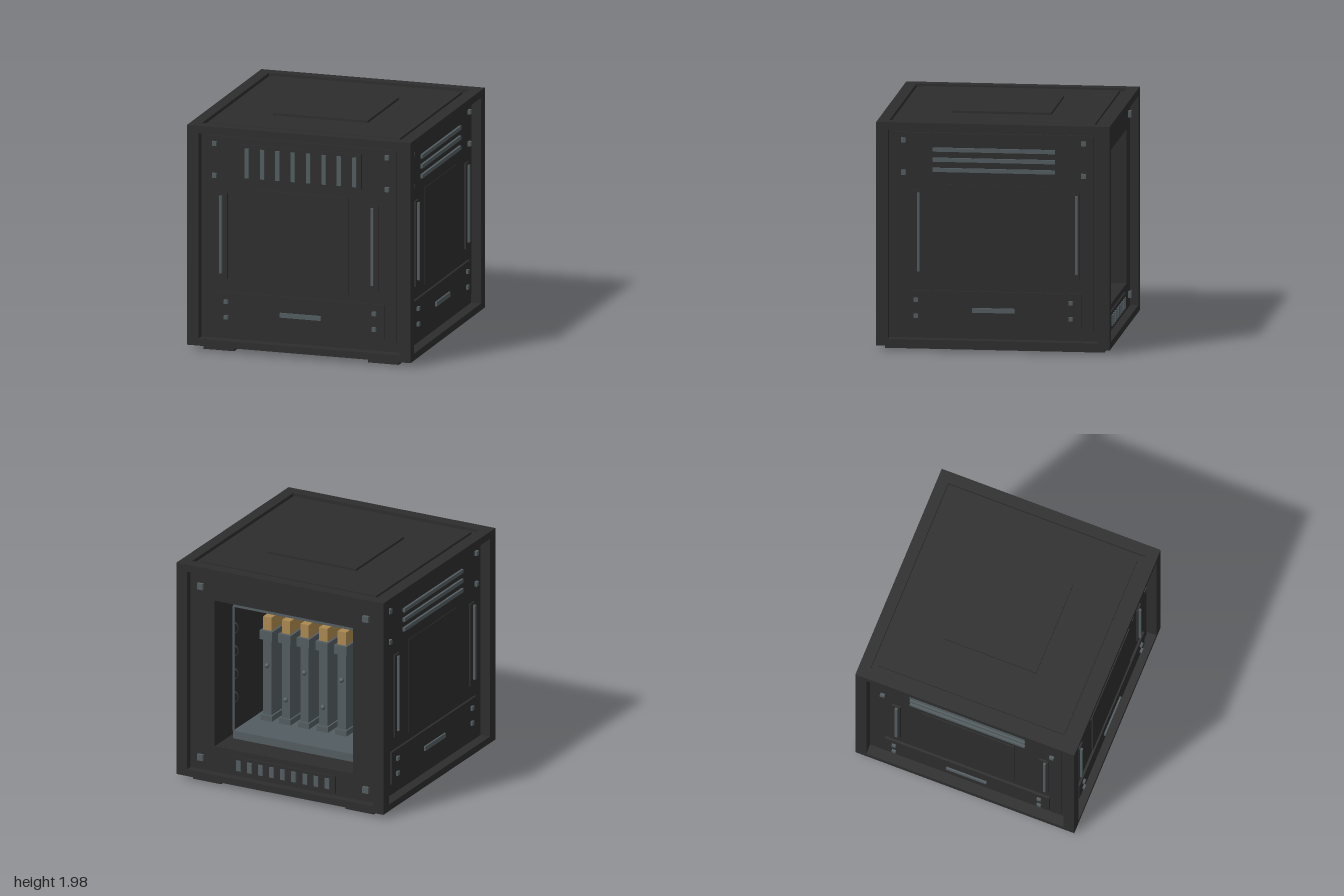
import * as THREE from 'three';

const mat = (name, color) => Object.assign(new THREE.MeshStandardMaterial({ color }), { name });

export function createModel() {
  const body = mat('charcoal', 0x2d2d2d);
  const steel = mat('slate steel', 0x525c60);
  const brass = mat('brass', 0xab8850);
  const model = new THREE.Group();
  model.name = 'equipmentCube';

  const group = (name, parent = model) => {
    const g = new THREE.Group();
    g.name = name;
    parent.add(g);
    return g;
  };
  // box given by its limits on each axis
  const box = (parent, name, material, x0, x1, y0, y1, z0, z1) => {
    const m = new THREE.Mesh(new THREE.BoxGeometry(x1 - x0, y1 - y0, z1 - z0), material);
    m.position.set((x0 + x1) / 2, (y0 + y1) / 2, (z0 + z1) / 2);
    m.name = name;
    parent.add(m);
    return m;
  };
  const bolt = (parent, x, y, z, s = 0.02) =>
    box(parent, 'bolt', steel, x - s, x + s, y - s, y + s, z, z + 0.03);

  const Y0 = 0.04, Y1 = 1.97, V0 = 0.1, V1 = 1.905;

  // outer frame: four posts and eight rails
  const frame = group('frame');
  for (const s of [-1, 1]) {
    const [a, b] = s < 0 ? [-1, -0.9] : [0.9, 1];
    for (const [c, d] of [[-1, -0.9], [0.9, 1]]) box(frame, 'post', body, a, b, Y0, Y1, c, d);
    for (const [c, d] of [[Y0, V0], [V1, Y1]]) {
      box(frame, 'sideRail', body, a, b, c, d, -0.9, 0.9);
      box(frame, 'crossRail', body, -0.9, 0.9, c, d, a, b);
    }
  }

  // thick walls around a chamber that opens to the back
  const walls = group('walls');
  box(walls, 'frontWall', body, -0.91, 0.91, 0.07, 1.94, 0.55, 0.91);
  for (const [a, b] of [[-0.91, -0.67], [0.67, 0.91]])
    box(walls, 'sideWall', body, a, b, 0.07, 1.94, -0.93, 0.55);
  box(walls, 'ceilingWall', body, -0.67, 0.67, 1.66, 1.94, -0.93, 0.55);
  box(walls, 'floorWall', body, -0.67, 0.67, 0.07, 0.33, -0.93, 0.55);

  // top and bottom panels
  box(model, 'topPanel', body, -0.85, 0.85, 1.93, 1.96, -0.85, 0.85);
  box(model, 'topPlate', body, -0.425, 0.425, 1.95, 1.98, -0.425, 0.425);
  box(model, 'bottomPanel', body, -0.85, 0.85, 0.05, 0.08, -0.85, 0.85);
  box(model, 'bottomPlate', body, -0.425, 0.425, 0.03, 0.06, -0.425, 0.425);
  for (const [a, b] of [[-0.875, -0.6], [0.6, 0.875]])
    box(model, 'foot', body, a, b, 0, 0.045, -0.94, 0.94);

  // one outer face, drawn facing +z and then turned
  const face = (name, angle, gripX, plateZ) => {
    const g = group(name);
    g.rotation.y = angle;
    box(g, 'panel', body, -0.85, 0.85, 0.19, 1.875, 0.9, 0.93);
    box(g, 'centerPlate', body, -0.425, 0.425, 0.58, 1.43, 0.92, plateZ);
    for (const x of [-0.775, 0.77]) for (const y of [1.81, 1.53]) bolt(g, x, y, 0.925);
    for (const [x, off] of gripX) {
      box(g, 'gripMount', body, x - 0.04, x + 0.04, 0.63, 1.38, 0.92, 0.945);
      box(g, 'grip', steel, x + off - 0.011, x + off + 0.011, 0.68, 1.36, 0.94, 0.965);
    }
    box(g, 'lowerPanel', body, -0.75, 0.75, 0.22, 0.515, 0.92, 0.95);
    box(g, 'lowerBar', steel, -0.185, 0.182, 0.335, 0.375, 0.94, 0.965);
    for (const x of [-0.665, 0.66]) for (const y of [0.435, 0.298]) bolt(g, x, y, 0.94, 0.018);
    return g;
  };

  // front with upright vent slats
  const front = face('frontFace', 0, [[-0.7, -0.015], [0.65, -0.01]], 0.945);
  box(front, 'ventFrame', body, -0.54, 0.54, 1.51, 1.82, 0.92, 0.945);
  for (let i = 0; i < 8; i++) {
    const x = -0.484 + i * 0.1377;
    box(front, 'ventSlat', steel, x - 0.019, x + 0.019, 1.53, 1.79, 0.94, 0.955);
  }

  // sides with three level louvers
  for (const [name, angle] of [['rightFace', Math.PI / 2], ['leftFace', -Math.PI / 2]]) {
    const side = face(name, angle, [[-0.652, 0.007], [0.697, 0.013]], 0.936);
    for (const y of [1.557, 1.645, 1.732])
      box(side, 'louver', steel, -0.525, 0.525, y - 0.017, y + 0.017, 0.92, 0.95);
  }

  // back: corner bolts and a low vent under the opening
  const back = group('backFace');
  back.rotation.y = Math.PI;
  for (const x of [-0.8, 0.8]) for (const y of [0.21, 1.77]) bolt(back, x, y, 0.925, 0.028);
  box(back, 'ventFrame', body, -0.505, 0.505, 0.125, 0.28, 0.92, 0.945);
  for (let i = 0; i < 9; i++) {
    const x = (i - 4) * 0.107;
    box(back, 'ventSlat', steel, x - 0.022, x + 0.022, 0.155, 0.25, 0.94, 0.955);
  }

  // chamber fittings: floor, ceiling shelf and corner rods
  const chamber = group('chamber');
  box(chamber, 'floorTray', steel, -0.62, 0.62, 0.33, 0.4, -0.69, 0.55);
  box(chamber, 'ceilingShelf', steel, -0.62, 0.62, 1.53, 1.61, -0.69, 0.55);
  for (const x of [-0.62, 0.62]) {
    const rod = new THREE.Mesh(new THREE.CylinderGeometry(0.012, 0.012, 1.13, 8), steel);
    rod.position.set(x, 0.965, -0.68);
    rod.name = 'cornerRod';
    chamber.add(rod);
    // cable loops on the side walls
    for (let i = 0; i < 4; i++) {
      const loop = new THREE.Mesh(new THREE.TorusGeometry(0.05, 0.007, 6, 12, Math.PI), body);
      loop.position.set(x * 1.06, 0.68 + i * 0.21, -0.62);
      loop.rotation.z = x < 0 ? -Math.PI / 2 : Math.PI / 2;
      loop.name = 'cableLoop';
      chamber.add(loop);
    }
  }

  // five upright cards with brass contacts
  for (let i = 0; i < 5; i++) {
    const x = (i - 2) * 0.18;
    const card = group('card', chamber);
    box(card, 'cardBody', steel, x - 0.04, x + 0.04, 0.53, 1.28, -0.56, 0.2);
    box(card, 'cardFoot', steel, x - 0.055, x + 0.055, 0.5, 0.55, -0.58, 0.22);
    box(card, 'cardHead', steel, x - 0.06, x + 0.06, 1.24, 1.32, -0.59, 0.22);
    box(card, 'contact', brass, x - 0.04, x + 0.04, 1.32, 1.44, -0.56, 0.2);
    const stud = new THREE.Mesh(new THREE.SphereGeometry(0.022, 10, 8), steel);
    stud.position.set(x, i % 2 ? 0.72 : 1.0, -0.565);
    stud.name = 'cardStud';
    card.add(stud);
  }
  return model;
}
